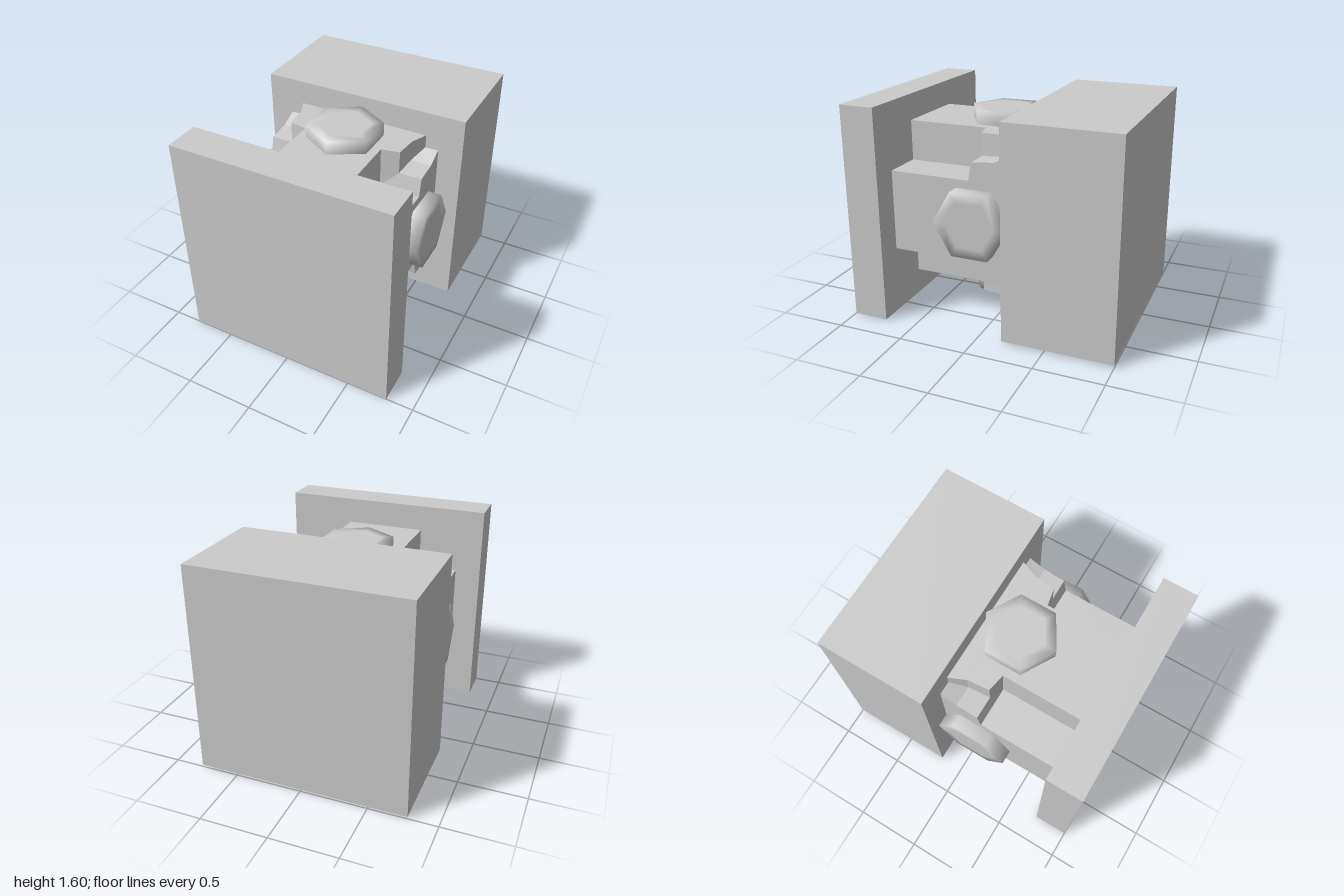
import * as THREE from 'three';

const MID = 0.8; // height of the central axis

export function createModel() {
  const group = new THREE.Group();
  const flat = new THREE.MeshStandardMaterial({ color: 0xcccccc, flatShading: true });
  const smooth = new THREE.MeshStandardMaterial({ color: 0xcccccc });

  const add = (name, geometry, material, z) => {
    const mesh = new THREE.Mesh(geometry, material);
    mesh.name = name;
    mesh.position.set(0, MID, z);
    group.add(mesh);
    return mesh;
  };

  // Thin square plate at the front, deep block at the back
  add('frontPlate', new THREE.BoxGeometry(1.6, 1.6, 0.262), flat, 0.869);
  add('backBlock', new THREE.BoxGeometry(1.57, 1.57, 0.815), flat, -0.5925);

  // Cross-shaped core whose arms step wider and flare into the back block
  add('crossCore', crossGeometry(0.605, [
    [-0.19, 0.508], [-0.06, 0.452], [0.105, 0.435], [0.13, 0.302], [0.745, 0.302],
  ]), flat, 0);

  // Softly shaded hexagonal bolt head on the end of each arm
  const profile = [[0.275, 0], [0.275, 0.1], [0.19, 0.1], [0, 0.1]]
    .map(([r, y]) => new THREE.Vector2(r, y));
  const headGeometry = new THREE.LatheGeometry(profile, 6);
  ['top', 'left', 'bottom', 'right'].forEach((side, i) => {
    const angle = -i * Math.PI / 2;
    const head = add(side + 'BoltHead', headGeometry, smooth, 0.09);
    head.rotation.z = angle;
    head.position.x = -Math.sin(angle) * 0.605;
    head.position.y = MID + Math.cos(angle) * 0.605;
  });

  return group;
}

// Lofts a plus-shaped outline through [z, arm half width] sections, back to front
function crossGeometry(reach, sections) {
  const positions = [], indices = [];
  const count = 12;
  for (const [z, h] of sections) {
    for (let q = 0; q < 4; q++) {
      const c = Math.round(Math.cos(q * Math.PI / 2)), s = Math.round(Math.sin(q * Math.PI / 2));
      for (const [x, y] of [[reach, -h], [reach, h], [h, h]]) {
        positions.push(x * c - y * s, x * s + y * c, z);
      }
    }
  }
  for (let i = 0; i < sections.length - 1; i++) {
    for (let j = 0; j < count; j++) {
      const a = i * count + j, b = i * count + (j + 1) % count;
      indices.push(a, b, b + count, a, b + count, a + count);
    }
  }
  const indexed = new THREE.BufferGeometry();
  indexed.setAttribute('position', new THREE.Float32BufferAttribute(positions, 3));
  indexed.setIndex(indices);
  const geometry = indexed.toNonIndexed();
  geometry.computeVertexNormals();
  return geometry;
}
